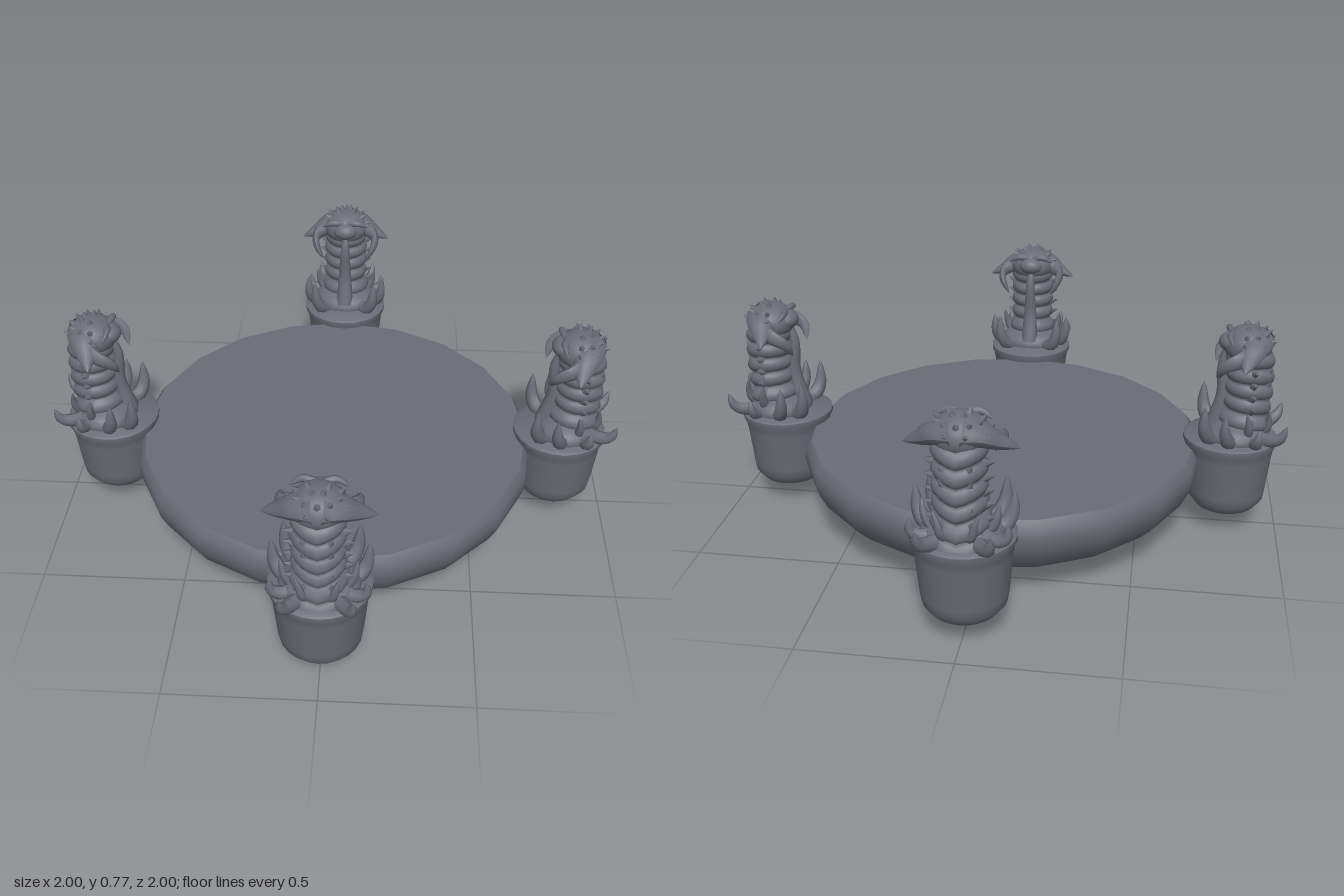
import * as THREE from 'three';
import { toCreasedNormals } from 'three/addons/utils/BufferGeometryUtils.js';

const slate = new THREE.MeshStandardMaterial({ color: 0x696c75, side: THREE.DoubleSide });
const V = (x, y, z) => new THREE.Vector3(x, y, z);

function add(group, name, geometry) {
  const mesh = new THREE.Mesh(geometry, slate);
  mesh.name = name;
  group.add(mesh);
  return mesh;
}

function lathe(profile, sides) {
  const points = profile.map(([r, y]) => new THREE.Vector2(r, y));
  return toCreasedNormals(new THREE.LatheGeometry(points, sides), 0.9);
}

function ball(group, name, size, at) {
  const mesh = add(group, name, new THREE.SphereGeometry(1, 20, 14));
  mesh.scale.copy(size);
  mesh.position.copy(at);
}

// Tube along a smooth path whose radius follows radius(t); stretch squashes the section
function taper(points, radius, steps = 10, sides = 8, stretch = V(1, 1, 1)) {
  const path = new THREE.CatmullRomCurve3(points);
  const geo = new THREE.TubeGeometry(path, steps, 1, sides, false);
  const pos = geo.attributes.position, nor = geo.attributes.normal;
  for (let i = 0; i <= steps; i++) {
    const t = i / steps, centre = path.getPointAt(t);
    for (let j = 0; j <= sides; j++) {
      const k = i * (sides + 1) + j;
      const p = V(0, 0, 0).fromBufferAttribute(nor, k).multiply(stretch).multiplyScalar(radius(t)).add(centre);
      pos.setXYZ(k, p.x, p.y, p.z);
    }
  }
  geo.computeVertexNormals();
  return geo;
}

// Pointed horn, thickest a little above its root
const horn = (points, r, stretch) =>
  taper(points, t => r * (0.75 + 0.8 * t) * Math.pow(1 - t, 0.8) + 0.0005, 10, 8, stretch);

function spike(group, name, at, direction, length, r) {
  const geo = new THREE.ConeGeometry(r, length, 5).translate(0, length / 2 - 0.005, 0);
  const mesh = add(group, name, geo);
  mesh.position.copy(at);
  mesh.quaternion.setFromUnitVectors(V(0, 1, 0), direction.clone().normalize());
}

// Horned worm in a pot; its back faces +z and its mouth faces -z
function pottedCreature() {
  const g = new THREE.Group();
  // Pot, open underneath
  add(g, 'pot', lathe([[0.095, 0.08], [0.108, 0.085], [0.134, 0.118], [0.139, 0.15], [0.152, 0.29],
    [0.156, 0.315], [0.165, 0.335], [0.165, 0.35], [0.155, 0.357], [0, 0.36]], 24));

  // Ringed trunk, the rings dipping to a V along the back
  const rings = 6;
  const trunk = taper([V(0, 0.35, 0.035), V(0, 0.45, 0.045), V(0, 0.56, 0.05), V(0, 0.68, 0.045)],
    t => 0.07 + 0.016 * Math.pow(Math.abs(Math.sin(t * Math.PI * rings)), 0.7) + 0.035 * Math.max(0, 0.3 - t) / 0.3,
    60, 20);
  const pos = trunk.attributes.position;
  for (let i = 0; i < pos.count; i++) {
    const x = pos.getX(i), back = Math.max(0, pos.getZ(i) - 0.05) / 0.09;
    pos.setY(i, pos.getY(i) - 0.025 * back * (1 - Math.min(1, Math.abs(x) / 0.09)));
  }
  trunk.computeVertexNormals();
  add(g, 'trunk', trunk);
  ball(g, 'root', V(0.13, 0.06, 0.11), V(0, 0.365, 0.02));

  // Tongue hanging on the mouth side
  add(g, 'tongue', taper([V(0, 0.67, -0.03), V(0, 0.62, -0.045), V(0, 0.5, -0.035), V(0, 0.38, -0.06)],
    t => 0.014 + 0.02 * t, 12, 10));

  // Head with snout
  ball(g, 'head', V(0.088, 0.068, 0.085), V(0, 0.692, 0.035));
  ball(g, 'snout', V(0.05, 0.035, 0.045), V(0, 0.7, -0.02));

  for (const s of [-1, 1]) {
    // Broad hood wing, ending in a point at the side
    add(g, 'hoodWing', taper([V(s * 0.01, 0.705, 0.055), V(s * 0.06, 0.698, 0.05), V(s * 0.11, 0.674, 0.035), V(s * 0.173, 0.648, 0.02)],
      t => 0.06 * Math.pow(1 - t, 0.75) + 0.0005, 12, 12, V(1, 0.8, 1.15)));
    // Mandible flap curling round to the mouth
    add(g, 'mandible', horn([V(s * 0.07, 0.685, 0.04), V(s * 0.115, 0.67, 0), V(s * 0.115, 0.645, -0.045), V(s * 0.085, 0.592, -0.065)],
      0.037, V(0.6, 1, 1)));
    add(g, 'brow', horn([V(s * 0.01, 0.73, -0.02), V(s * 0.05, 0.735, -0.03), V(s * 0.09, 0.715, -0.02)], 0.016));

    // Spines down both flanks and scales down the back
    for (let i = 0; i < 5; i++) {
      const y = 0.43 + i * 0.045;
      spike(g, 'flankSpine', V(s * 0.07, y, 0.06), V(s, 0.3, 0.2), 0.044, 0.02);
      spike(g, 'backScale', V(s * 0.04, y, 0.11), V(s * 0.5, 0.9, 0.5), 0.028, 0.014);
    }

    // Curled leaves around the root, each with its thickness
    const leaves = [
      [0.034, V(s * 0.04, 0.365, 0.08), V(s * 0.08, 0.37, 0.125), V(s * 0.103, 0.39, 0.165), V(s * 0.11, 0.44, 0.184)],
      [0.03, V(s * 0.07, 0.365, 0.06), V(s * 0.12, 0.37, 0.08), V(s * 0.145, 0.39, 0.085), V(s * 0.145, 0.435, 0.09)],
      [0.034, V(s * 0.07, 0.365, 0.0), V(s * 0.12, 0.37, -0.01), V(s * 0.145, 0.41, -0.025), V(s * 0.152, 0.485, -0.03)],
      [0.036, V(s * 0.05, 0.365, -0.03), V(s * 0.09, 0.37, -0.075), V(s * 0.112, 0.41, -0.095), V(s * 0.12, 0.5, -0.098)],
      [0.02, V(s * 0.02, 0.37, 0.08), V(s * 0.045, 0.4, 0.12), V(s * 0.055, 0.44, 0.125), V(s * 0.07, 0.48, 0.12)],
      [0.022, V(s * 0.07, 0.37, 0.05), V(s * 0.095, 0.4, 0.055), V(s * 0.108, 0.43, 0.055), V(s * 0.118, 0.48, 0.045)],
    ];
    for (const [thickness, ...path] of leaves) add(g, 'leaf', horn(path, thickness));
  }

  // Crown of short spikes over the head
  for (const [tilt, count] of [[0.35, 4], [0.85, 7], [1.25, 6]]) {
    for (let i = 0; i < count; i++) {
      const a = (i / (count - 1) - 0.5) * Math.PI * 1.1;
      const d = V(Math.sin(tilt) * Math.sin(a), Math.cos(tilt), Math.sin(tilt) * Math.cos(a));
      spike(g, 'crownSpike', V(d.x * 0.085, 0.69 + d.y * 0.066, 0.035 + d.z * 0.082), d, 0.028, 0.016);
    }
  }
  return g;
}

export function createModel() {
  const model = new THREE.Group();

  // Basin shell, open underneath, with a flat surface on top
  add(model, 'basin', lathe([[0.43, 0], [0.64, 0.115], [0.685, 0.16], [0.712, 0.215],
    [0.72, 0.26], [0.714, 0.295], [0.695, 0.32]], 20));
  const surface = add(model, 'surface', new THREE.CircleGeometry(0.695, 20).rotateX(-Math.PI / 2));
  surface.position.y = 0.32;

  // Four potted creatures round the rim
  const creature = pottedCreature();
  for (let i = 0; i < 4; i++) {
    const a = (i * Math.PI) / 2;
    const copy = creature.clone();
    copy.name = 'pottedCreature';
    copy.rotation.y = a;
    copy.position.set(Math.sin(a) * 0.815, 0, Math.cos(a) * 0.815);
    model.add(copy);
  }
  return model;
}
